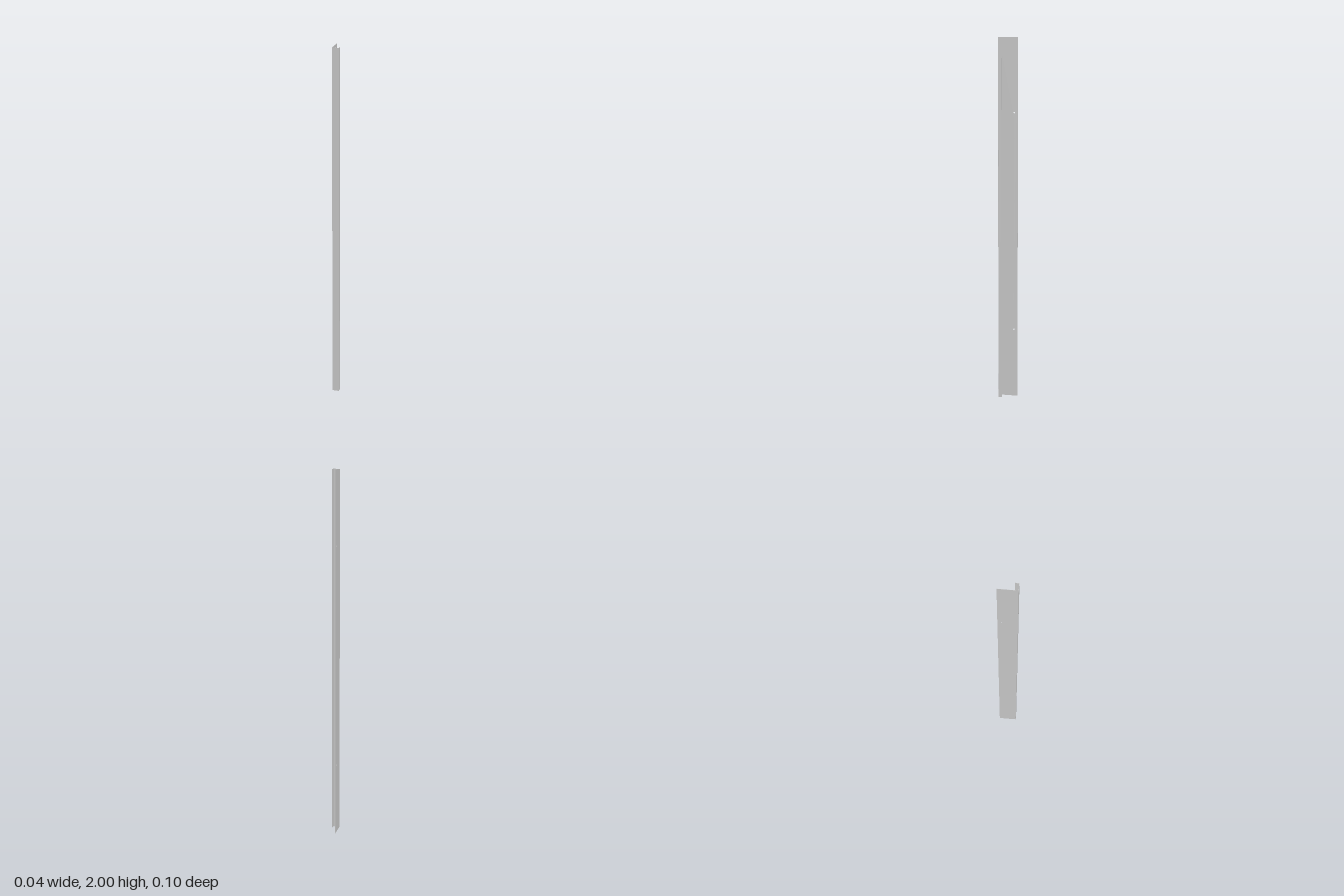
import * as THREE from 'three';

const HEIGHT = 2, T = 0.001;      // length and sheet thickness
const X = 0.019, Z = 0.0505;      // half width and half depth

export function createModel() {
  const group = new THREE.Group();
  group.name = 'edgeProfile';
  const material = new THREE.MeshStandardMaterial({ color: 0xcccccc, flatShading: true });

  // full-height sheet panel spanning x0..x1 and z0..z1
  function panel(name, x0, x1, z0, z1) {
    const mesh = new THREE.Mesh(new THREE.BoxGeometry(x1 - x0, HEIGHT, z1 - z0), material);
    mesh.position.set((x0 + x1) / 2, HEIGHT / 2, (z0 + z1) / 2);
    mesh.name = name;
    group.add(mesh);
  }

  // wide side flange with two small screw holes near its rear edge
  const shape = new THREE.Shape();
  shape.moveTo(-Z, 0);
  shape.lineTo(Z, 0);
  shape.lineTo(Z, HEIGHT);
  shape.lineTo(-Z, HEIGHT);
  shape.closePath();
  for (const y of [0.395, 1.605]) {
    const hole = new THREE.Path();
    hole.absarc(0.03, y, 0.004, 0, Math.PI * 2, true);
    shape.holes.push(hole);
  }
  const geometry = new THREE.ExtrudeGeometry(shape, { depth: T, bevelEnabled: false, curveSegments: 16 });
  geometry.rotateY(Math.PI / 2);   // shape x becomes -z, depth becomes +x
  const flange = new THREE.Mesh(geometry, material);
  flange.position.x = -X;
  flange.name = 'sideFlange';
  group.add(flange);

  // front face, return lip and its folded-back hem
  panel('frontFace', -X + T, X, Z - T, Z);
  panel('returnLip', X - 2 * T, X - T, 0.03, Z - T);
  panel('lipHem', X - T, X, 0.03, 0.042);

  return group;
}
